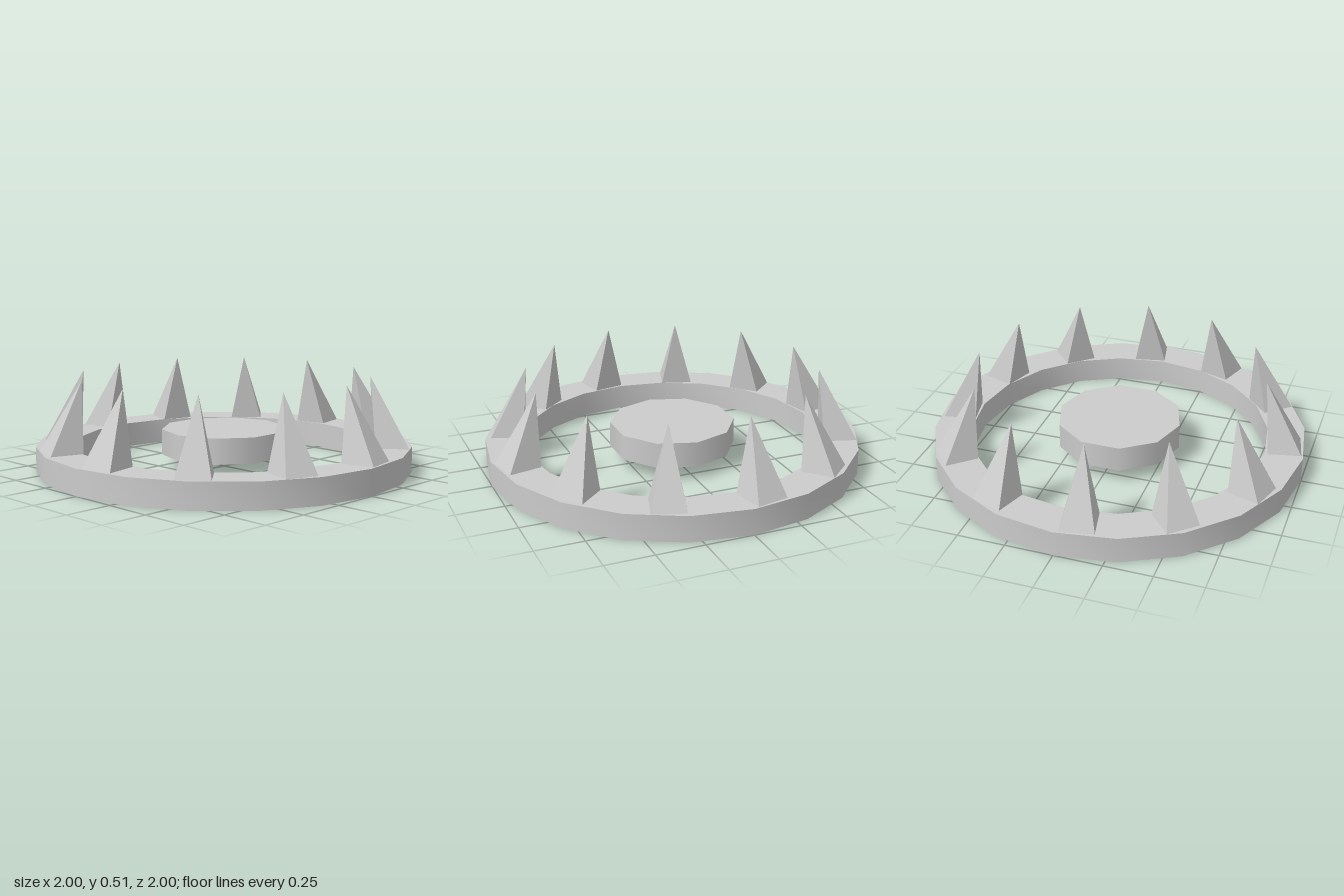
import * as THREE from 'three';
import { toCreasedNormals } from 'three/addons/utils/BufferGeometryUtils.js';

const RING_TOP = 0.136;
const TOOTH_HEIGHT = 0.37;
const TOOTH_COUNT = 12;

export function createModel() {
  const model = new THREE.Group();
  model.name = 'jawTrap';
  const metal = new THREE.MeshStandardMaterial({ color: 0xcccccc });
  const flatMetal = new THREE.MeshStandardMaterial({ color: 0xcccccc, flatShading: true });

  // Base ring: rectangular section turned in 20 steps
  const section = [[1, 0], [1, RING_TOP], [0.8, RING_TOP], [0.8, 0], [1, 0]]
    .map(([r, y]) => new THREE.Vector2(r, y));
  const ring = new THREE.Mesh(toCreasedNormals(new THREE.LatheGeometry(section, 20), 0.6), metal);
  ring.name = 'baseRing';
  model.add(ring);

  // Ten-sided pressure plate floating in the middle
  const plate = new THREE.Mesh(new THREE.CylinderGeometry(0.335, 0.335, 0.136, 10), metal);
  plate.name = 'pressurePlate';
  plate.rotation.y = Math.PI / 2;
  plate.position.y = 0.143;
  model.add(plate);

  // Tooth: square pyramid, twisted slightly, its tip sheared towards the centre
  const toothGeometry = new THREE.ConeGeometry(0.123, TOOTH_HEIGHT, 4);
  toothGeometry.rotateY(Math.PI / 4 + THREE.MathUtils.degToRad(6));
  toothGeometry.translate(0, TOOTH_HEIGHT / 2, 0);
  const p = toothGeometry.attributes.position;
  for (let i = 0; i < p.count; i++) {
    p.setZ(i, p.getZ(i) - 0.115 * p.getY(i) / TOOTH_HEIGHT);
  }
  toothGeometry.translate(0, RING_TOP, 0.889);
  toothGeometry.computeVertexNormals();

  // Teeth spaced evenly around the ring
  const teeth = new THREE.Group();
  teeth.name = 'teeth';
  for (let i = 0; i < TOOTH_COUNT; i++) {
    const tooth = new THREE.Mesh(toothGeometry, flatMetal);
    tooth.name = `tooth${i + 1}`;
    tooth.rotation.y = THREE.MathUtils.degToRad(6) + (i * 2 * Math.PI) / TOOTH_COUNT;
    teeth.add(tooth);
  }
  model.add(teeth);

  return model;
}
